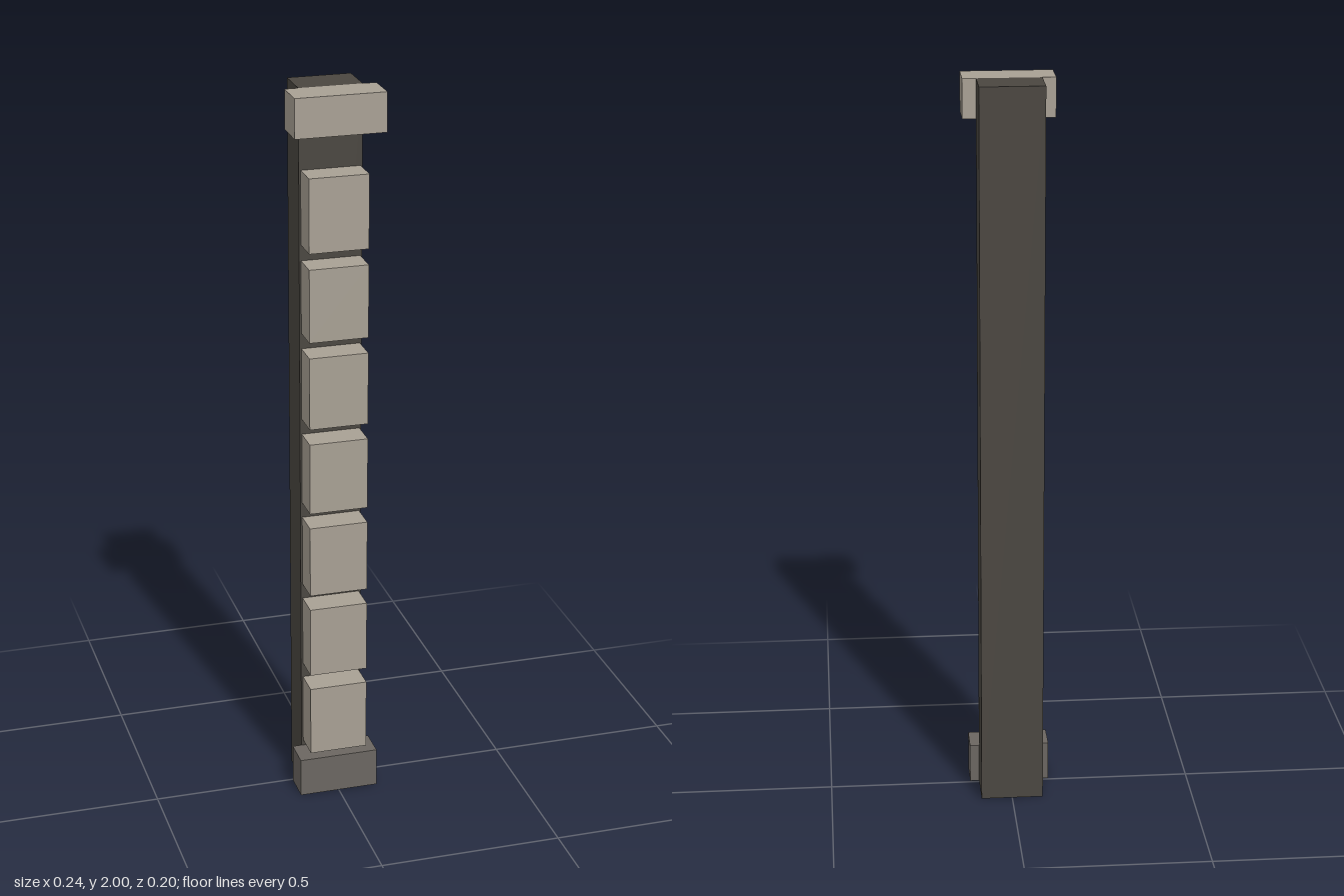
import * as THREE from 'three';

const mat = (name, color) => {
  const m = new THREE.MeshStandardMaterial({ color });
  m.name = name;
  return m;
};

export function createModel() {
  const group = new THREE.Group();
  group.name = 'pilaster';
  const darkStone = mat('dark stone', 0x4a4640);
  const paleStone = mat('pale stone', 0xa8a094);
  const greyStone = mat('grey stone', 0x6b6661);

  // Box centred on x, given by its width and its y and z ranges
  function block(name, material, width, y0, y1, z0, z1) {
    const mesh = new THREE.Mesh(new THREE.BoxGeometry(width, y1 - y0, z1 - z0), material);
    mesh.position.set(0, (y0 + y1) / 2, (z0 + z1) / 2);
    mesh.name = name;
    group.add(mesh);
  }

  // Full-height backing shaft
  block('shaft', darkStone, 0.17, 0, 2, -0.102, 0.007);

  // Plinth and capital on the front
  block('plinth', greyStone, 0.22, 0, 0.11, 0.006, 0.09);
  block('capital', paleStone, 0.242, 1.895, 2, 0.006, 0.102);

  // Seven evenly spaced facing blocks
  for (let i = 0; i < 7; i++) {
    const y = 0.127 + i * 0.243;
    block('facingBlock' + (i + 1), paleStone, 0.16, y, y + 0.2, 0.006, 0.086);
  }

  return group;
}
